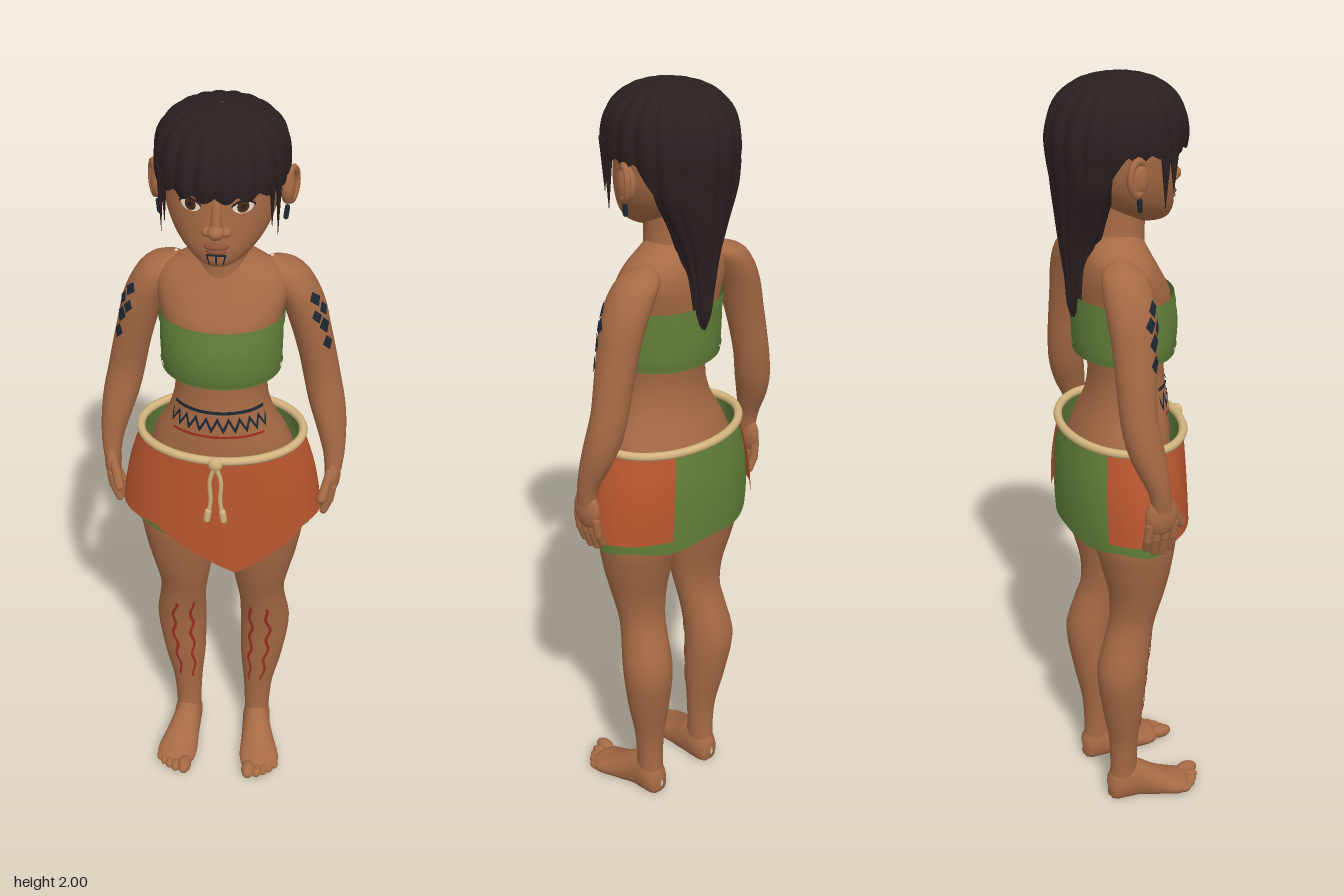
import * as THREE from 'three';
import { mergeVertices } from 'three/addons/utils/BufferGeometryUtils.js';

const PI = Math.PI;
const paint = (name, color, open) => {
  const m = new THREE.MeshStandardMaterial({ color });
  m.name = name;
  if (open) m.side = THREE.DoubleSide;
  return m;
};

// Cross-section at height y. Rows are [y, centreX, halfWidth, frontZ, backZ], rising in y.
function sectionAt(rows, y) {
  let i = 0;
  while (i < rows.length - 2 && y > rows[i + 1][0]) i++;
  const a = rows[i], b = rows[i + 1], p = rows[i - 1] || a, n = rows[i + 2] || b;
  const h = b[0] - a[0], u = THREE.MathUtils.clamp((y - a[0]) / h, 0, 1);
  return [1, 2, 3, 4].map((k) => {
    const ma = (b[k] - p[k]) / (b[0] - p[0]) * h, mb = (n[k] - a[k]) / (n[0] - a[0]) * h;
    const d = b[k] - a[k];
    return a[k] + u * (ma + u * (3 * d - 2 * ma - mb + u * (ma + mb - 2 * d)));
  });
}

// Bends a flat geometry (x = angle from the front, y = height) onto a lofted body.
function onBody(rows, geo, off = 0) {
  const p = geo.attributes.position;
  for (let i = 0; i < p.count; i++) {
    const t = p.getX(i), y = p.getY(i), o = off + p.getZ(i);
    const [cx, rx, zf, zb] = sectionAt(rows, y);
    p.setXYZ(i, cx + (rx + o) * Math.sin(t), y, (zf + zb) / 2 + ((zf - zb) / 2 + o) * Math.cos(t));
  }
  geo.deleteAttribute('uv');
  geo.deleteAttribute('normal');
  const g = mergeVertices(geo, 1e-5);
  g.computeVertexNormals();
  return g;
}

// Sheet of angle t0..t1 with variable lower edge and optional radial ripple.
function sheet(rows, { t0 = -PI, t1 = PI, n = 40, m = 30, bottom, top, ripple, off = 0 } = {}) {
  const g = new THREE.PlaneGeometry(1, 1, n, m), p = g.attributes.position;
  const hi = top ?? rows[rows.length - 1][0];
  for (let i = 0; i < p.count; i++) {
    const t = t0 + (t1 - t0) * (p.getX(i) + 0.5);
    const v = 0.5 - 0.5 * Math.cos(PI * (p.getY(i) + 0.5));
    const lo = bottom ? bottom(t) : rows[0][0], y = lo + (hi - lo) * v;
    p.setXYZ(i, t, y, ripple ? ripple(t, y) : 0);
  }
  return onBody(rows, g, off);
}

export function createModel() {
  const root = new THREE.Group();
  root.name = 'islander';
  const skin = paint('skin', 0xa66a45), hair = paint('hair', 0x2b1f20, true);
  const green = paint('greenCloth', 0x62803a, true), orange = paint('orangeCloth', 0xb9562f, true);
  const rope = paint('rope', 0xd3b57e), navy = paint('navyInk', 0x1d2834, true);
  const red = paint('redInk', 0x9c2f20, true), white = paint('eyeWhite', 0xe6dccf, true);
  const brown = paint('iris', 0x4a2a18, true), lip = paint('lips', 0x8c5039);

  const add = (name, geo, mat) => {
    const mesh = new THREE.Mesh(geo, mat);
    mesh.name = name;
    root.add(mesh);
    return mesh;
  };
  const ball = (name, mat, c, r) =>
    add(name, new THREE.SphereGeometry(1, 20, 14).scale(...r).translate(...c), mat);
  const limb = (name, mat, a, b, r) => {
    const A = new THREE.Vector3(...a), d = new THREE.Vector3(...b).sub(A);
    const mesh = add(name, new THREE.CapsuleGeometry(r, d.length(), 5, 10), mat);
    mesh.position.copy(A).addScaledVector(d, 0.5);
    mesh.quaternion.setFromUnitVectors(new THREE.Vector3(0, 1, 0), d.normalize());
  };
  // Painted shapes: ellipse or diamond, and a strip whose points may be shifted
  const spot = (name, mat, rows, t, y, rt, ry, off = 0.003, n = 20) =>
    add(name, onBody(rows, new THREE.CircleGeometry(1, n).scale(rt, ry, 1).translate(t, y, 0), off), mat);
  const strip = (name, mat, rows, t, y, w, h, nx, ny, dt, dy, off = 0.003) => {
    const g = new THREE.PlaneGeometry(w, h, nx, ny).translate(t, y, 0), p = g.attributes.position;
    for (let i = 0; i < p.count; i++) {
      const a = p.getX(i), b = p.getY(i);
      p.setXY(i, a + (dt ? dt(b) : 0), b + (dy ? dy(a) : 0));
    }
    add(name, onBody(rows, g, off), mat);
  };

  // Torso and neck
  const torso = [
    [0.84, 0, 0.14, 0.07, -0.1], [0.95, 0, 0.185, 0.1, -0.145], [1.05, 0, 0.186, 0.107, -0.14],
    [1.12, 0, 0.165, 0.108, -0.118], [1.18, 0, 0.134, 0.106, -0.095], [1.25, 0, 0.115, 0.1, -0.085],
    [1.32, 0, 0.119, 0.1, -0.092], [1.4, 0, 0.136, 0.114, -0.108], [1.47, 0, 0.148, 0.11, -0.118],
    [1.53, 0, 0.158, 0.08, -0.12], [1.57, 0, 0.142, 0.058, -0.114], [1.6, 0, 0.095, 0.045, -0.1],
    [1.63, 0, 0.05, 0.03, -0.07]];
  add('torso', sheet(torso, { n: 48, m: 48 }), skin);
  add('neck', sheet([[1.5, 0, 0.085, 0.07, -0.1], [1.58, 0, 0.067, 0.053, -0.088],
    [1.64, 0, 0.06, 0.053, -0.08], [1.74, 0, 0.06, 0.06, -0.08]]), skin);

  // Belly markings
  const zig = (t) => 0.016 * (Math.abs(((t * 4.5 + 20) % 1) * 2 - 1) * 2 - 1);
  strip('bellyLine', navy, torso, 0, 1.232, 2.2, 0.009, 30, 1);
  strip('bellyZigzag', navy, torso, 0, 1.197, 2.2, 0.015, 180, 1, null, zig);
  strip('bellyRedLine', red, torso, 0, 1.163, 1.8, 0.007, 30, 1);

  // Chest band with hems
  const chest = [[1.318, 0, 0.144, 0.122, -0.12], [1.34, 0, 0.148, 0.128, -0.124],
    [1.4, 0, 0.15, 0.132, -0.127], [1.47, 0, 0.15, 0.118, -0.126]];
  add('chestBand', sheet(chest, { n: 56, m: 8 }), green);
  for (const [lo, hi] of [[1.316, 1.334], [1.446, 1.472]])
    add('chestBandHem', sheet(chest, { n: 56, m: 5, bottom: () => lo, top: hi, off: 0.003 }), green);

  // Underskirt and wrapped overskirt
  const under = [[0.83, 0, 0.236, 0.128, -0.163], [0.9, 0, 0.24, 0.135, -0.167],
    [1.0, 0, 0.231, 0.14, -0.166], [1.11, 0, 0.203, 0.138, -0.153]];
  add('underskirt', sheet(under, { n: 72, m: 12, bottom: (t) => 0.84 + 0.006 * Math.cos(6 * t) }), green);
  const wrap = [[0.75, 0, 0.27, 0.153, -0.176], [0.88, 0, 0.259, 0.15, -0.175],
    [1.0, 0, 0.24, 0.146, -0.172], [1.112, 0, 0.207, 0.142, -0.157]];
  add('overskirt', sheet(wrap, {
    t0: -2.28, t1: 2.64, n: 90, m: 14,
    bottom: (t) => 0.878 - 0.118 * Math.max(0, 1 - Math.abs(t - 0.19) / 0.85),
  }), orange);

  // Rope belt, knot and hanging cords
  const loop = [];
  for (let i = 0; i < 32; i++) {
    const a = i / 32 * 2 * PI;
    loop.push(new THREE.Vector3(0.207 * Math.sin(a), 1.115, -0.008 + 0.15 * Math.cos(a)));
  }
  add('ropeBelt', new THREE.TubeGeometry(new THREE.CatmullRomCurve3(loop, true), 96, 0.011, 8, true), rope);
  ball('beltKnot', rope, [0, 1.112, 0.152], [0.018, 0.018, 0.012]);
  for (const s of [-1, 1]) {
    const cord = new THREE.CatmullRomCurve3([[0, 1.11, 0.154], [s * 0.014, 1.06, 0.154],
      [s * 0.012, 1.0, 0.154], [s * 0.02, 0.945, 0.156]].map((v) => new THREE.Vector3(...v)));
    add('beltCord', new THREE.TubeGeometry(cord, 16, 0.006, 6), rope);
    limb('cordEnd', rope, [s * 0.018, 0.965, 0.156], [s * 0.021, 0.94, 0.156], 0.009);
  }

  // Head
  const head = [
    [1.64, 0, 0.006, 0.09, 0.07], [1.65, 0, 0.045, 0.113, 0.01], [1.68, 0, 0.083, 0.122, -0.045],
    [1.72, 0, 0.112, 0.121, -0.09], [1.77, 0, 0.13, 0.118, -0.12], [1.82, 0, 0.135, 0.115, -0.13],
    [1.88, 0, 0.134, 0.115, -0.14], [1.94, 0, 0.108, 0.085, -0.115], [1.975, 0, 0.05, 0.04, -0.06],
    [1.982, 0, 0.002, 0.0, -0.01]];
  add('head', sheet(head, { n: 56, m: 40 }), skin);
  limb('noseBridge', skin, [0, 1.805, 0.108], [0, 1.755, 0.126], 0.012);
  ball('noseTip', skin, [0, 1.746, 0.13], [0.02, 0.017, 0.02]);
  ball('upperLip', lip, [0, 1.707, 0.12], [0.029, 0.008, 0.015]);
  ball('lowerLip', lip, [0, 1.695, 0.119], [0.024, 0.009, 0.015]);
  for (const t of [-0.24, 0, 0.24]) strip('chinLine', navy, head, t, 1.672, 0.05, 0.026, 1, 6);
  strip('chinBar', navy, head, 0, 1.685, 0.5, 0.005, 10, 1);

  // Hair cap: fringe in front, clear of the ears, gathered at the nape
  const cap = [
    [1.6, 0, 0.05, -0.02, -0.155], [1.66, 0, 0.085, 0.05, -0.16], [1.74, 0, 0.125, 0.12, -0.17],
    [1.82, 0, 0.147, 0.146, -0.182], [1.87, 0, 0.152, 0.152, -0.183], [1.93, 0, 0.141, 0.134, -0.163],
    [1.97, 0, 0.106, 0.096, -0.122], [1.99, 0, 0.058, 0.05, -0.072], [1.998, 0, 0.002, -0.004, -0.008]];
  const lock = (t) => 0.008 * Math.abs(Math.sin(9 * t + 0.4 * Math.sin(3 * t))) - 0.003;
  const hairline = (t) => {
    const a = Math.abs(t);
    return 1.84 - 0.013 * Math.abs(Math.sin(9 * t)) - 0.2 * THREE.MathUtils.smoothstep(a, 1.75, 2.5);
  };
  add('hairCap', sheet(cap, { n: 180, m: 32, bottom: hairline,
    ripple: (t, y) => lock(t) * Math.min(1, (1.998 - y) / 0.02) }), hair);
  add('ponytail', sheet([
    [1.415, 0, 0.002, -0.128, -0.134], [1.45, 0, 0.02, -0.108, -0.143], [1.52, 0, 0.033, -0.1, -0.148],
    [1.6, 0, 0.048, -0.062, -0.16], [1.68, 0, 0.08, -0.045, -0.168], [1.76, 0, 0.118, -0.03, -0.174],
    [1.82, 0, 0.125, -0.03, -0.176]], { n: 96, ripple: (t) => 0.005 * Math.abs(Math.sin(6 * t)) - 0.003 }), hair);

  const arm = [
    [1.0, 0.287, 0.022, 0.012, -0.04], [1.05, 0.286, 0.028, 0.006, -0.05], [1.12, 0.275, 0.039, 0, -0.082],
    [1.18, 0.262, 0.046, -0.008, -0.1], [1.25, 0.247, 0.047, -0.016, -0.108], [1.32, 0.233, 0.047, -0.012, -0.11],
    [1.4, 0.214, 0.049, -0.004, -0.112], [1.47, 0.194, 0.053, 0.002, -0.116], [1.53, 0.165, 0.055, 0.003, -0.116],
    [1.57, 0.138, 0.046, -0.012, -0.103], [1.592, 0.115, 0.004, -0.05, -0.06]];
  const leg = [
    [0.05, 0.1, 0.034, 0.004, -0.078], [0.12, 0.1, 0.036, -0.002, -0.076], [0.2, 0.102, 0.042, 0, -0.081],
    [0.3, 0.109, 0.058, 0.008, -0.1], [0.43, 0.117, 0.068, 0.016, -0.117], [0.52, 0.111, 0.063, 0.03, -0.095],
    [0.58, 0.105, 0.064, 0.042, -0.076], [0.66, 0.106, 0.077, 0.065, -0.078], [0.75, 0.111, 0.093, 0.083, -0.1],
    [0.85, 0.113, 0.102, 0.093, -0.122], [0.96, 0.1, 0.08, 0.075, -0.11]];
  // Foot runs heel to toe; front/back columns are minus sole and minus instep height
  const foot = [
    [-0.087, 0.1, 0.004, -0.02, -0.045], [-0.078, 0.1, 0.026, 0.012, -0.075], [-0.045, 0.1, 0.038, 0.02, -0.11],
    [0, 0.102, 0.04, 0.02, -0.105], [0.05, 0.111, 0.048, 0.02, -0.072], [0.1, 0.119, 0.056, 0.015, -0.045],
    [0.135, 0.119, 0.046, 0.01, -0.032], [0.15, 0.116, 0.02, -0.005, -0.02]];

  for (const s of [-1, 1]) {
    const mirror = (rows) => rows.map(([y, cx, ...r]) => [y, s * cx, ...r]);
    const sideName = s > 0 ? 'left' : 'right';

    // Eyes, brows, ears, side locks
    const e = s * 0.455;
    spot(sideName + 'EyeWhite', white, head, e, 1.802, 0.19, 0.016, 0.002);
    spot(sideName + 'Iris', brown, head, e - s * 0.01, 1.803, 0.105, 0.0145, 0.004);
    spot(sideName + 'Pupil', hair, head, e - s * 0.01, 1.803, 0.05, 0.007, 0.0055);
    strip(sideName + 'Lashes', hair, head, e, 1.818, 0.42, 0.006, 16, 1, null, (t) => -0.3 * (t - e) ** 2, 0.005);
    strip(sideName + 'Brow', hair, head, e, 1.842, 0.5, 0.01, 16, 1, null, (t) => -0.15 * (t - e) ** 2);
    ball(sideName + 'Nostril', skin, [s * 0.021, 1.743, 0.12], [0.013, 0.011, 0.014]);
    ball(sideName + 'Ear', skin, [s * 0.149, 1.79, -0.025], [0.018, 0.043, 0.028]);
    const rim = add(sideName + 'EarRim', new THREE.TorusGeometry(0.03, 0.008, 8, 20).scale(0.85, 1.3, 1), skin);
    rim.position.set(s * 0.159, 1.795, -0.028);
    rim.rotation.y = s * 1.15;
    limb(sideName + 'Earring', navy, [s * 0.15, 1.74, -0.02], [s * 0.147, 1.715, -0.018], 0.006);
    for (const [x, z, y] of [[0.134, 0.052, 1.7], [0.122, 0.078, 1.735]]) {
      const g = new THREE.ConeGeometry(0.015, 1.87 - y, 10).rotateX(PI).scale(0.6, 1, 1.1);
      add(sideName + 'SideLock', g.translate(s * x, (1.87 + y) / 2, z), hair);
    }

    // Arm, arm markings, hand
    const armRows = mirror(arm);
    add(sideName + 'Arm', sheet(armRows, { n: 28, m: 40 }), skin);
    for (const [t, y, rt, ry] of [[0.85, 1.5, 0.3, 0.02], [1.1, 1.468, 0.28, 0.02], [0.6, 1.455, 0.25, 0.02],
      [0.9, 1.425, 0.33, 0.024], [0.85, 1.375, 0.32, 0.022]])
      spot(sideName + 'ArmMark', navy, armRows, s * t, y, rt, ry, 0.003, 4);
    ball(sideName + 'Palm', skin, [s * 0.286, 0.982, -0.016], [0.021, 0.052, 0.043]);
    [-0.048, -0.027, -0.005, 0.016].forEach((z, i) => {
      const tip = [0.89, 0.876, 0.873, 0.882][i];
      limb(sideName + 'Finger', skin, [s * 0.288, 0.962, z], [s * 0.282, 0.92, z * 1.05], 0.0115);
      limb(sideName + 'Fingertip', skin, [s * 0.282, 0.92, z * 1.05], [s * 0.268, tip, z], 0.0105);
    });
    limb(sideName + 'Thumb', skin, [s * 0.28, 1.0, 0.012], [s * 0.262, 0.94, 0.045], 0.0125);

    // Leg with wavy shin lines
    const legRows = mirror(leg);
    add(sideName + 'Leg', sheet(legRows, { n: 32, m: 48 }), skin);
    for (const [t, lo, hi] of [[-0.5, 0.22, 0.53], [0.22, 0.23, 0.53]])
      strip(sideName + 'ShinLine', red, legRows, s * t, (lo + hi) / 2, 0.13, hi - lo, 2, 50,
        (y) => 0.07 * Math.sin(y * 75));

    // Foot and toes
    const g = sheet(mirror(foot), { n: 28, m: 24 }).rotateX(PI / 2), p = g.attributes.position;
    for (let i = 0; i < p.count; i++) p.setY(i, Math.max(p.getY(i), 0));
    g.computeVertexNormals();
    add(sideName + 'Foot', g, skin);
    [[0.092, 0.158, 0.019], [0.117, 0.157, 0.014], [0.135, 0.148, 0.013], [0.151, 0.137, 0.012],
      [0.165, 0.122, 0.011]].forEach(([x, z, r]) =>
      ball(sideName + 'Toe', skin, [s * x, r, z], [r, r, r * 1.6]));
  }
  return root;
}
